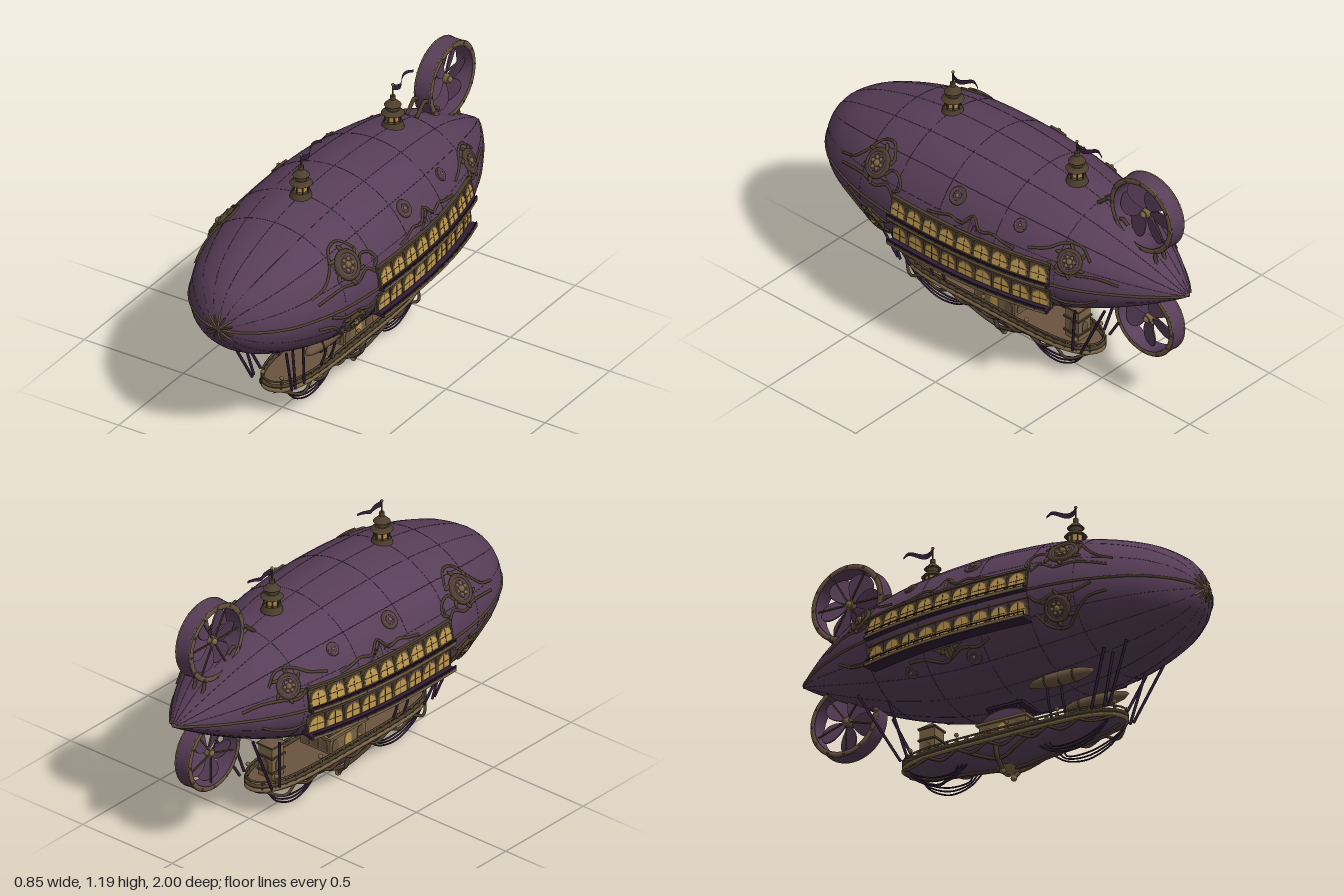
import * as THREE from 'three';
import { toCreasedNormals } from 'three/addons/utils/BufferGeometryUtils.js';

const mat = (name, color, side = THREE.FrontSide) => {
  const m = new THREE.MeshStandardMaterial({ color, side });
  m.name = name;
  return m;
};
const M = {
  purple: mat('plum canvas', 0x583e58),
  dark: mat('dark plum', 0x301d36, THREE.DoubleSide),
  seam: mat('seam', 0x4a344d),
  bronze: mat('dark bronze', 0x4e3f2d),
  brass: mat('brass', 0x786344),
  gold: mat('lit glass', 0xbf994f),
  wood: mat('deck wood', 0x69543f),
};
const V = (x, y, z) => new THREE.Vector3(x, y, z);

export function createModel() {
  const root = new THREE.Group();
  root.name = 'airship';
  const add = (name, geo, m, x = 0, y = 0, z = 0, parent = root) => {
    const mesh = new THREE.Mesh(geo, m);
    mesh.name = name;
    mesh.position.set(x, y, z);
    parent.add(mesh);
    return mesh;
  };
  const box = (n, m, w, h, d, x, y, z, p) => add(n, new THREE.BoxGeometry(w, h, d), m, x, y, z, p);
  const cyl = (n, m, rt, rb, h, x, y, z, p, seg = 12) => add(n, new THREE.CylinderGeometry(rt, rb, h, seg), m, x, y, z, p);
  const ball = (n, m, r, x, y, z, p) => add(n, new THREE.SphereGeometry(r, 12, 8), m, x, y, z, p);
  const tube = (n, m, pts, r, seg = 24, sides = 5) =>
    add(n, new THREE.TubeGeometry(new THREE.CatmullRomCurve3(pts), seg, r, sides), m);
  const beam = (n, m, a, b, w, h) => {
    const mesh = box(n, m, w, h, a.distanceTo(b), 0, 0, 0);
    mesh.position.copy(a).lerp(b, 0.5);
    mesh.lookAt(b);
  };
  // closed loops of points joined into a skin
  const loft = (loops) => {
    const n = loops[0].length, idx = [];
    for (let i = 0; i < loops.length - 1; i++) for (let j = 0; j < n; j++) {
      const a = i * n + j, b = i * n + (j + 1) % n;
      idx.push(a, a + n, b, b, a + n, b + n);
    }
    const g = new THREE.BufferGeometry().setFromPoints(loops.flat());
    g.setIndex(idx);
    g.computeVertexNormals();
    return g;
  };

  // envelope stations: z, top, bottom, half width
  const st = [[1, .655, .655, 0], [.985, .715, .60, .07], [.95, .778, .548, .135], [.9, .825, .503, .198], [.8, .883, .45, .275],
    [.6, .95, .387, .352], [.4, .988, .352, .385], [.2, 1.003, .335, .393], [0, 1.003, .33, .39], [-.2, .99, .35, .372],
    [-.4, .963, .40, .335], [-.6, .91, .472, .272], [-.8, .81, .565, .165], [-.9, .748, .62, .095], [-.97, .70, .66, .035], [-1, .68, .68, 0]];
  const slope = (i, k) => {
    const a = st[Math.max(0, i - 1)], b = st[Math.min(st.length - 1, i + 1)];
    return (b[k] - a[k]) / (b[0] - a[0]);
  };
  const prof = (z) => {
    let i = 0;
    while (i < st.length - 2 && st[i + 1][0] > z) i++;
    const h = st[i + 1][0] - st[i][0], t = (z - st[i][0]) / h, t2 = t * t, t3 = t2 * t;
    return [1, 2, 3].map((k) => st[i][k] * (2 * t3 - 3 * t2 + 1) + st[i + 1][k] * (3 * t2 - 2 * t3)
      + h * (slope(i, k) * (t3 - 2 * t2 + t) + slope(i + 1, k) * (t3 - t2)));
  };
  const midY = (z) => .655 + .025 * Math.max(0, (-z - .5) / .5);
  const skin = (z, a, off = 0) => {
    const [top, bot, w] = prof(z), c = midY(z), s = Math.sin(a);
    return V((w + off) * Math.cos(a), c + s * ((s > 0 ? top - c : c - bot) + off), z);
  };
  const halfW = (z) => prof(z)[2];
  // point on one flank at a given height
  const flank = (z, y, s, off = 0) => {
    const [top, bot] = prof(z), c = midY(z);
    const a = Math.asin(THREE.MathUtils.clamp((y - c) / (y > c ? top - c : c - bot), -1, 1));
    return skin(z, s > 0 ? a : Math.PI - a, off);
  };
  // group lying on a flank, facing outward
  const mount = (name, z, y, s) => {
    const g = new THREE.Group(), p = flank(z, y, s), d = .01;
    const n = flank(z - d, y, s).sub(flank(z + d, y, s)).cross(flank(z, y + d, s).sub(flank(z, y - d, s)));
    if (n.x * s < 0) n.negate();
    g.name = name;
    g.position.copy(p);
    g.lookAt(p.clone().add(n.normalize()));
    root.add(g);
    return g;
  };
  const zs = Array.from({ length: 81 }, (_, i) => Math.cos(i / 80 * Math.PI));
  add('envelope', loft(zs.map((z) => Array.from({ length: 48 }, (_, j) => skin(z, j / 48 * Math.PI * 2)))), M.purple);

  // seams, belt and nose star
  for (let k = 0; k < 16; k++) {
    const a = k / 16 * Math.PI * 2, belt = k % 8 === 0;
    tube(belt ? 'belt' : 'gore seam', belt ? M.bronze : M.seam,
      zs.filter((z, i) => i % 2 === 0 && Math.abs(z) < .995).map((z) => skin(z, a)), belt ? .0065 : .001, 60, belt ? 6 : 4);
    tube('nose ray', k % 2 ? M.bronze : M.brass, [.9985, .995, .99, k % 2 ? .985 : .98].map((z) => skin(z, a, .001)), .0045, 8);
  }
  for (const z of [.56, .35, .1, -.2, -.5]) {
    const ring = Array.from({ length: 48 }, (_, j) => skin(z, j / 48 * Math.PI * 2));
    add('hoop seam', new THREE.TubeGeometry(new THREE.CatmullRomCurve3(ring, true), 64, .001, 4, true), M.seam);
  }
  ball('nose cap', M.bronze, .018, 0, .655, .982);
  const tip = cyl('tail cap', M.bronze, .002, .032, .06, 0, .678, -.968);
  tip.rotation.x = -Math.PI / 2;

  const arch = (w, h, d) => {
    const s = new THREE.Shape();
    s.moveTo(-w, 0).lineTo(w, 0).lineTo(w, h).absarc(0, h, w, 0, Math.PI, false);
    return new THREE.ExtrudeGeometry(s, { depth: d, bevelEnabled: false, curveSegments: 8 });
  };
  const paneGeo = arch(.036, .03, .006), frameGeo = arch(.042, .031, .005);
  const crest = new THREE.Shape();
  crest.moveTo(-.08, 0).quadraticCurveTo(-.03, .015, 0, .06).quadraticCurveTo(.03, .015, .08, 0).lineTo(-.08, 0);
  const crestGeo = new THREE.ExtrudeGeometry(crest, { depth: .01, bevelEnabled: false });

  for (const s of [1, -1]) {
    // two rows of galleries with arched windows
    for (const y of [.655, .525]) {
      for (let i = 0; i < 9; i++) {
        const z = .305 - i * .0925, zA = z + .0465, zB = z - .0465;
        const at = (zz, yy, o) => V(s * (halfW(zz) + o), yy, zz);
        beam('gallery floor', M.dark, at(zA, y, -.008), at(zB, y, -.008), .07, .016);
        beam('floor edge', M.brass, at(zA, y, .028), at(zB, y, .028), .006, .013);
        beam('hand rail', M.dark, at(zA, y + .018, .028), at(zB, y + .018, .028), .004, .004);
        for (const zz of [zA, z]) box('rail post', M.dark, .005, .02, .005, s * (halfW(zz) + .028), y + .01, zz);
        const bay = mount('window bay', z, y + .05, s);
        if (y < .6) {
          // the lower row stands upright
          bay.position.x = s * (halfW(z) - .014);
          bay.lookAt(at(z, y + .05, 1).add(V(0, 0, (halfW(z - .02) - halfW(z + .02)) / .04)));
        }
        box('bay wall', M.bronze, .095, .092, .014, 0, 0, 0, bay);
        box('cornice', M.bronze, .097, .01, .022, 0, .046, .004, bay);
        add('window frame', frameGeo, M.brass, 0, -.037, .005, bay);
        add('window pane', paneGeo, M.gold, 0, -.036, .006, bay);
        box('mullion', M.bronze, .0025, .064, .002, 0, -.004, .0125, bay);
        box('transom', M.bronze, .07, .0025, .002, 0, -.006, .0125, bay);
        cyl('pilaster', M.bronze, .004, .005, .08, .046, 0, .008, bay, 8);
      }
    }
    for (const [y, turn] of [[.758, 0], [.51, Math.PI]]) {
      const g = mount('gallery crest', -.07, y, s);
      add('crest shell', crestGeo, turn ? M.wood : M.purple, 0, 0, 0, g).rotation.z = turn;
      for (let k = -2; k <= 2; k++) {
        const rib = box('crest rib', M.bronze, .005, .05 - Math.abs(k) * .012, .014, k * .017, (turn ? -1 : 1) * (.025 - Math.abs(k) * .005), .004, g);
        rib.rotation.z = (turn ? 1 : -1) * k * .25;
      }
    }

    // medallions on the flanks
    for (const [z, y, r] of [[.49, .82, .058], [-.55, .78, .048], [.04, .865, .035], [-.29, .855, .026],
      [.48, .55, .05], [.04, .45, .03], [-.29, .47, .026]]) {
      const g = mount('medallion', z, y, s);
      add('medallion rim', new THREE.TorusGeometry(r, r * .2, 6, 24), M.bronze, 0, 0, .002, g);
      add('medallion inner rim', new THREE.TorusGeometry(r * .6, r * .1, 6, 20), M.bronze, 0, 0, .006, g);
      cyl('medallion plate', M.purple, r, r, .012, 0, 0, .002, g, 24).rotation.x = Math.PI / 2;
      ball('medallion boss', M.brass, r * .28, 0, 0, .008, g);
      if (r > .04) for (let k = 0; k < 6; k++) {
        const a = k * Math.PI / 3, b = a + .5;
        ball('medallion petal', M.brass, r * .18, Math.cos(a) * r * .45, Math.sin(a) * r * .45, .006, g);
        const leaf = ball('medallion leaf', M.bronze, 1, Math.cos(b) * r * 1.3, Math.sin(b) * r * 1.3, -.002, g);
        leaf.scale.set(r * .4, r * .15, .008);
        leaf.rotation.z = b + .6;
      }
    }
    // scrollwork following the canvas
    const scrolls = [
      [[.72, .75], [.64, .78], [.58, .83], [.52, .89], [.46, .9], [.41, .86]],
      [[.7, .72], [.62, .74], [.55, .75], [.47, .74], [.4, .77], [.36, .74]],
      [[.43, .8], [.4, .83], [.35, .82], [.33, .78], [.36, .76]],
      [[.7, .6], [.62, .58], [.56, .53], [.5, .48], [.43, .49], [.38, .54]],
      [[.64, .64], [.56, .61], [.47, .61], [.4, .59], [.36, .62]],
      [[-.36, .79], [-.44, .81], [-.5, .84], [-.57, .84], [-.63, .79]],
      [[-.46, .76], [-.52, .72], [-.6, .73], [-.68, .73], [-.76, .71]],
      [[.16, .765], [.1, .775], [.04, .79], [-.02, .78], [-.07, .825], [-.12, .78], [-.18, .79], [-.24, .775], [-.3, .765]],
      [[-.46, .6], [-.52, .57], [-.6, .58], [-.68, .62]],
      [[.14, .5], [.08, .48], [.0, .49], [-.1, .46], [-.2, .49], [-.28, .5]]];
    for (const pts of scrolls) tube('scrollwork', M.bronze, pts.map(([z, y]) => flank(z, y, s, .001)), .0065, 28);

    // struts carrying the gondola
    for (const [x0, y0, z0, x1, z1] of [[.15, .43, .7, .1, .58], [.13, .4, .62, .105, .56], [.17, .41, .6, .11, .5],
      [.14, .5, -.64, .09, -.46], [.15, .43, -.48, .1, -.42]])
      tube('strut', M.dark, [V(s * x0, y0, z0), V(s * x1, .17, z1)], .0065, 1, 6);

    // small tender slung on each side
    const tender = ball('tender', M.wood, 1, s * .14, .335, .37);
    tender.scale.set(.035, .032, .165);
    for (const z of [.44, .37, .3]) {
      add('tender hoop', new THREE.TorusGeometry(.032, .004, 5, 16), M.bronze, s * .14, .335, z);
      if (z < .4) tube('tender davit', M.dark, [V(s * .14, .32, z), V(s * .13, .25, z), V(s * .1, .17, z)], .006, 8);
    }
    // rigging loops under the gondola
    for (const [za, zb] of [[.57, .2], [-.46, -.14]]) for (const k of [0, 1, 2]) {
      const q = (t, y) => V(s * .06, y, za + (zb - za) * t);
      tube('rigging loop', M.dark, [q(.05, .13), q(.2, .075 + k * .012), q(.5, .033 + k * .017), q(.8, .05 + k * .012), q(1 - k * .08, .1)], .004, 20);
    }
  }

  // gondola boat, deck and rail
  const gz = (t) => .055 + .545 * t;
  const gw = (t) => .112 * Math.sqrt(Math.max(0, 1 - Math.pow(Math.abs(t), 5)));
  const depth = (t) => .085 * Math.pow(Math.max(0, 1 - t * t), .45) + .022 * Math.exp(-t * t * 14);
  const ts = Array.from({ length: 33 }, (_, i) => Math.cos(i / 32 * Math.PI));
  add('gondola hull', loft(ts.map((t) => Array.from({ length: 24 }, (_, j) => {
    const a = j / 24 * Math.PI * 2;
    return V(gw(t) * Math.cos(a) * .96, .158 + Math.min(0, Math.sin(a)) * depth(t), gz(t));
  }))), M.purple);
  const outline = new THREE.Shape([...ts.map((t) => new THREE.Vector2(gw(t), -gz(t))),
    ...ts.slice(1, -1).reverse().map((t) => new THREE.Vector2(-gw(t), -gz(t)))]);
  add('deck', new THREE.ExtrudeGeometry(outline, { depth: .016, bevelEnabled: false }), M.wood, 0, .152, 0).rotation.x = -Math.PI / 2;
  const loop = (y) => [...ts.map((t) => V(gw(t), y, gz(t))), ...ts.slice(1, -1).reverse().map((t) => V(-gw(t), y, gz(t)))];
  for (const [y, r, m] of [[.152, .01, M.brass], [.172, .009, M.bronze], [.193, .005, M.bronze]])
    add('gondola rail', new THREE.TubeGeometry(new THREE.CatmullRomCurve3(loop(y), true), 96, r, 6, true), m);
  for (const s of [1, -1]) for (let i = 0; i < 22; i++) {
    const t = .96 - i * 1.92 / 21, x = s * gw(t);
    box('gondola rail post', M.bronze, .006, .04, .016, x, .175, gz(t));
    if (i % 5 === 0) ball('deck lamp', M.brass, .01, x, .212, gz(t));
    // festoons on the boat sides
    if (i % 3 === 0 && i < 19) {
      const z0 = gz(t), z1 = gz(t - .274);
      tube('festoon', M.bronze, [V(x * .98, .148, z0), V(s * .105, .118, (z0 + z1) / 2), V(s * gw(t - .274) * .98, .148, z1)], .007, 12);
    }
  }
  // keel ornaments
  tube('keel', M.bronze, ts.filter((t) => Math.abs(t) < .98).map((t) => V(0, .158 - depth(t), gz(t))), .009, 40);
  cyl('keel pendant', M.brass, .05, .012, .035, 0, .038, .02);
  for (const s of [1, -1]) {
    tube('keel bracket', M.bronze, [V(s * .1, .13, .02), V(s * .09, .08, .02), V(s * .06, .045, .02), V(s * .045, .02, .02)], .011, 14);
    ball('keel foot', M.brass, .014, s * .045, .026, .02);
    tube('keel arch', M.bronze, [V(s * .104, .14, .2), V(s * .095, .1, .12), V(s * .08, .07, .03), V(s * .095, .1, -.07), V(s * .104, .14, -.15)], .008, 20);
  }

  // cabin amidships with a barrel roof
  box('cabin', M.brass, .165, .075, .23, 0, .205, .04);
  box('cabin eave', M.brass, .185, .012, .25, 0, .243, .04);
  const roof = new THREE.CylinderGeometry(1, 1, .15, 24, 1, false, 0, Math.PI).rotateZ(Math.PI / 2);
  add('cabin roof', roof, [M.dark, M.purple, M.purple], 0, .247, .04).scale.set(1, .052, .11);
  for (const x of [-.072, .072]) {
    const trim = new THREE.TorusGeometry(1, .06, 5, 20, Math.PI).rotateY(Math.PI / 2);
    add('roof trim', trim, M.bronze, x, .247, .04).scale.set(.1, .052, .11);
  }
  for (const s of [1, -1]) {
    for (const z of [-.04, .04, .12]) {
      const f = add('cabin window', paneGeo, z === .04 ? M.gold : M.wood, s * .079, .175, z);
      f.rotation.y = s * Math.PI / 2;
      f.scale.set(.6, .8, 1);
    }
    for (const x of [-.05, 0, .05]) {
      const f = add('cabin end window', paneGeo, M.wood, x, .177, .04 + s * .112);
      if (s < 0) f.rotation.y = Math.PI;
      f.scale.set(.5, .8, 1);
    }
    for (const z of [.1, .04, -.02]) cyl('cabin post', M.dark, .007, .007, .11, s * .05, .3, z, root, 8);
  }
  box('mooring plate', M.dark, .13, .012, .18, 0, .32, .04);

  // stern turret
  box('turret', M.brass, .075, .15, .075, 0, .245, -.36);
  for (const y of [.2, .27, .322]) box('turret band', M.bronze, .088, .008, .088, 0, y, -.36);
  add('turret roof', new THREE.ConeGeometry(.062, .035, 4).rotateY(Math.PI / 4), M.wood, 0, .343, -.36);
  for (let k = 0; k < 4; k++) {
    const a = k * Math.PI / 2, f = add('turret window', paneGeo, M.wood, Math.sin(a) * .035, .21, -.36 + Math.cos(a) * .035);
    f.rotation.y = a;
    f.scale.set(.45, .7, 1);
  }

  // lantern towers with pennants
  for (const z of [.355, -.355]) {
    const t = new THREE.Group(), y = z > 0 ? .99 : .973;
    t.name = 'lantern tower';
    t.position.set(0, y, z);
    root.add(t);
    cyl('tower base', M.bronze, .04, .05, .03, 0, .01, 0, t, 16);
    cyl('tower lamp', M.gold, .032, .028, .036, 0, .045, 0, t, 8);
    cyl('lower roof', M.bronze, .032, .05, .018, 0, .072, 0, t, 16);
    cyl('upper drum', M.bronze, .027, .027, .022, 0, .092, 0, t, 8);
    cyl('upper roof', M.bronze, .012, .038, .026, 0, .115, 0, t, 16);
    cyl('tower neck', M.bronze, .012, .012, .02, 0, .136, 0, t, 8);
    cyl('flagpole', M.bronze, .004, .004, .06, 0, .17, 0, t, 6);
    ball('pole finial', M.brass, .007, 0, .2, 0, t);
    for (let k = 0; k < 8; k++) box('tower post', M.bronze, .005, .045, .005, .034 * Math.cos(k * Math.PI / 4), .045, .034 * Math.sin(k * Math.PI / 4), t);
    const flag = new THREE.PlaneGeometry(.15, .03, 14, 1).rotateY(Math.PI / 2).translate(0, 0, -.075);
    const p = flag.attributes.position;
    for (let i = 0; i < p.count; i++) {
      const u = -p.getZ(i) / .15;
      p.setXYZ(i, .012 * Math.sin(u * 7), p.getY(i) * (1 - u * .6) + .009 * Math.sin(u * 6.5 + 2.6) + u * .008, p.getZ(i));
    }
    flag.computeVertexNormals();
    add('pennant', flag, M.dark, 0, .182, 0, t);
  }

  // ducted fans at the stern
  const petal = new THREE.Shape();
  petal.moveTo(-.01, .02).bezierCurveTo(-.055, .06, -.075, .115, -.026, .143).quadraticCurveTo(0, .15, .026, .143)
    .bezierCurveTo(.075, .115, .055, .06, .01, .02);
  const petalGeo = new THREE.ExtrudeGeometry(petal, { depth: .006, bevelEnabled: false, curveSegments: 8 });
  const duct = [[.176, -.041], [.176, .041], [.153, .041], [.153, -.041], [.176, -.041]].map(([x, y]) => new THREE.Vector2(x, y));
  const ductGeo = toCreasedNormals(new THREE.LatheGeometry(duct, 48), .6);
  for (const [y, z, k, blades] of [[1.0, -.757, 1, 6], [.46, -.772, .95, 5]]) {
    const fan = new THREE.Group();
    fan.name = 'stern fan';
    fan.position.set(0, y, z);
    fan.rotation.y = Math.PI / 2;
    fan.scale.setScalar(k);
    root.add(fan);
    add('fan duct', ductGeo, M.purple, 0, 0, 0, fan).rotation.x = Math.PI / 2;
    for (const s of [1, -1]) {
      add('duct rim', new THREE.TorusGeometry(.166, .013, 6, 48), M.wood, 0, 0, s * .037, fan).scale.z = .6;
      for (let i = 0; i < 12; i++) ball('rim stud', M.bronze, .006, .167 * Math.cos(i * Math.PI / 6), .167 * Math.sin(i * Math.PI / 6), s * .042, fan);
    }
    for (let i = 0; i < blades; i++) {
      const arm = new THREE.Group();
      arm.name = 'fan arm';
      arm.rotation.z = (i + .5) * Math.PI * 2 / blades;
      fan.add(arm);
      add('fan blade', petalGeo, M.purple, 0, 0, -.003, arm).rotation.y = .35;
      box('fan spoke', M.bronze, .006, .16, .006, 0, .08, -.022, arm);
    }
    cyl('fan hub', M.brass, .022, .022, .05, 0, 0, 0, fan).rotation.x = Math.PI / 2;
    for (const s of [1, -1]) ball('hub cap', M.brass, .015, 0, 0, s * .024, fan);
  }
  // fan brackets
  for (const x of [.025, -.025]) for (const pts of [
    [[.94, -.5], [.965, -.53], [.99, -.56], [.975, -.59]], [[.9, -.6], [.92, -.64], [.9, -.67]],
    [[.74, -.86], [.79, -.83], [.84, -.82]], [[.5, -.58], [.5, -.63], [.47, -.62]], [[.63, -.86], [.61, -.85], [.59, -.84]]])
    tube('fan bracket', M.bronze, pts.map(([y, z]) => V(x, y, z)), .009, 12);

  return root;
}
